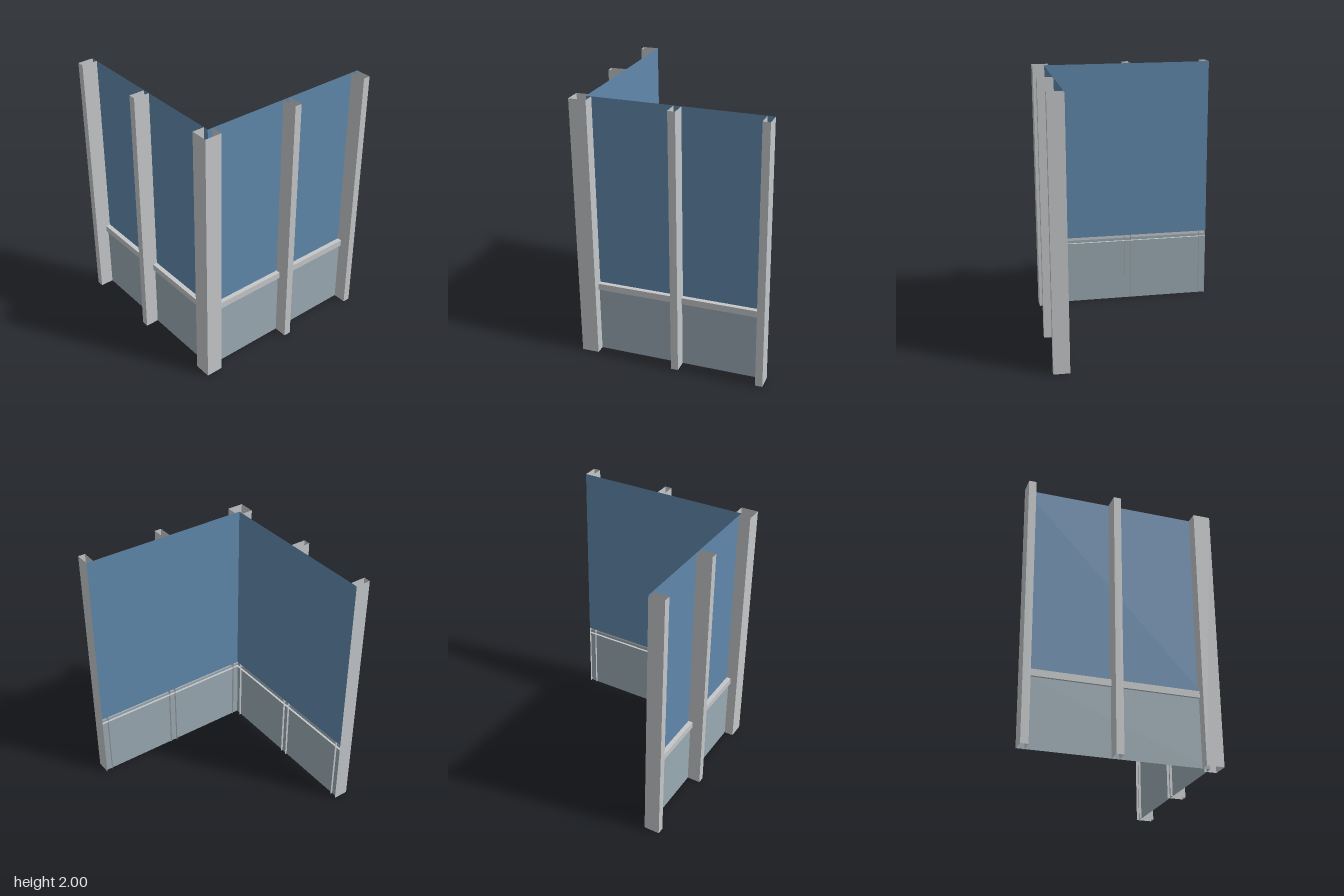
import * as THREE from 'three';

const PLANE = 0.61;    // inner face of both walls
const RECESS = 0.628;  // lower panel, set back between the posts
const RAIL = 0.645;    // outer face of the rail
const OUT = 0.73;      // outer face of the posts and free end of each wall
const TOP = 2;

const sheetMaterial = (name, color) => {
  const m = new THREE.MeshStandardMaterial({ color, side: THREE.DoubleSide });
  m.name = name;
  return m;
};

// Folded sheet between two matching 3D profiles, with sharp folds
function foldedSheet(name, a, b, material) {
  const pos = [];
  for (let i = 0; i < a.length - 1; i++) {
    pos.push(...a[i], ...a[i + 1], ...b[i + 1], ...a[i], ...b[i + 1], ...b[i]);
  }
  const g = new THREE.BufferGeometry();
  g.setAttribute('position', new THREE.Float32BufferAttribute(pos, 3));
  g.computeVertexNormals();
  const mesh = new THREE.Mesh(g, material);
  mesh.name = name;
  return mesh;
}

// Open channel standing upright along a plan outline of [x, z] points
function upright(name, plan, material, y0 = 0, y1 = TOP) {
  return foldedSheet(name, plan.map(([x, z]) => [x, y0, z]), plan.map(([x, z]) => [x, y1, z]), material);
}

export function createModel() {
  const model = new THREE.Group();
  model.name = 'cornerWall';
  const steel = sheetMaterial('light grey steel', 0xc4c7c9);
  const glass = sheetMaterial('blue glazing', 0x6088ac);
  const infill = sheetMaterial('grey blue infill', 0x9aaab3);

  // The side wall mirrors the front wall across the corner diagonal
  const walls = {
    frontWall: ([x, z]) => [x, z],
    sideWall: ([x, z]) => [-z, -x],
  };
  for (const [name, place] of Object.entries(walls)) {
    const wall = new THREE.Group();
    wall.name = name;

    // Upper glazing and recessed lower panel
    wall.add(upright('upperPanel', [[-PLANE, PLANE], [OUT, PLANE]].map(place), glass, 0.563, TOP));
    wall.add(upright('lowerPanel', [[-RECESS, RECESS], [OUT, RECESS]].map(place), infill, 0, 0.535));

    // Middle and end posts, open towards the inside
    for (const [post, x0, x1] of [['middlePost', 0.03, 0.085], ['endPost', 0.675, OUT]]) {
      const plan = [[x0, PLANE], [x0, OUT], [x1, OUT], [x1, PLANE]];
      wall.add(upright(post, plan.map(place), steel));
    }

    // Channel rail, mitred at the corner
    const profile = [[PLANE, 0.563], [RAIL, 0.563], [RAIL, 0.513], [PLANE, 0.513]];
    const railAt = (endX) => profile.map(([z, y]) => {
      const [px, pz] = place([endX ?? -z, z]);
      return [px, y, pz];
    });
    wall.add(foldedSheet('rail', railAt(), railAt(OUT), steel));
    model.add(wall);
  }

  // Corner post folded around the outside of the joint
  const c = 0.70, r = 0.57;
  model.add(upright('cornerPost', [
    [-PLANE, r], [-c, r], [-c, c], [-r, c], [-r, PLANE],
  ], steel));
  return model;
}
